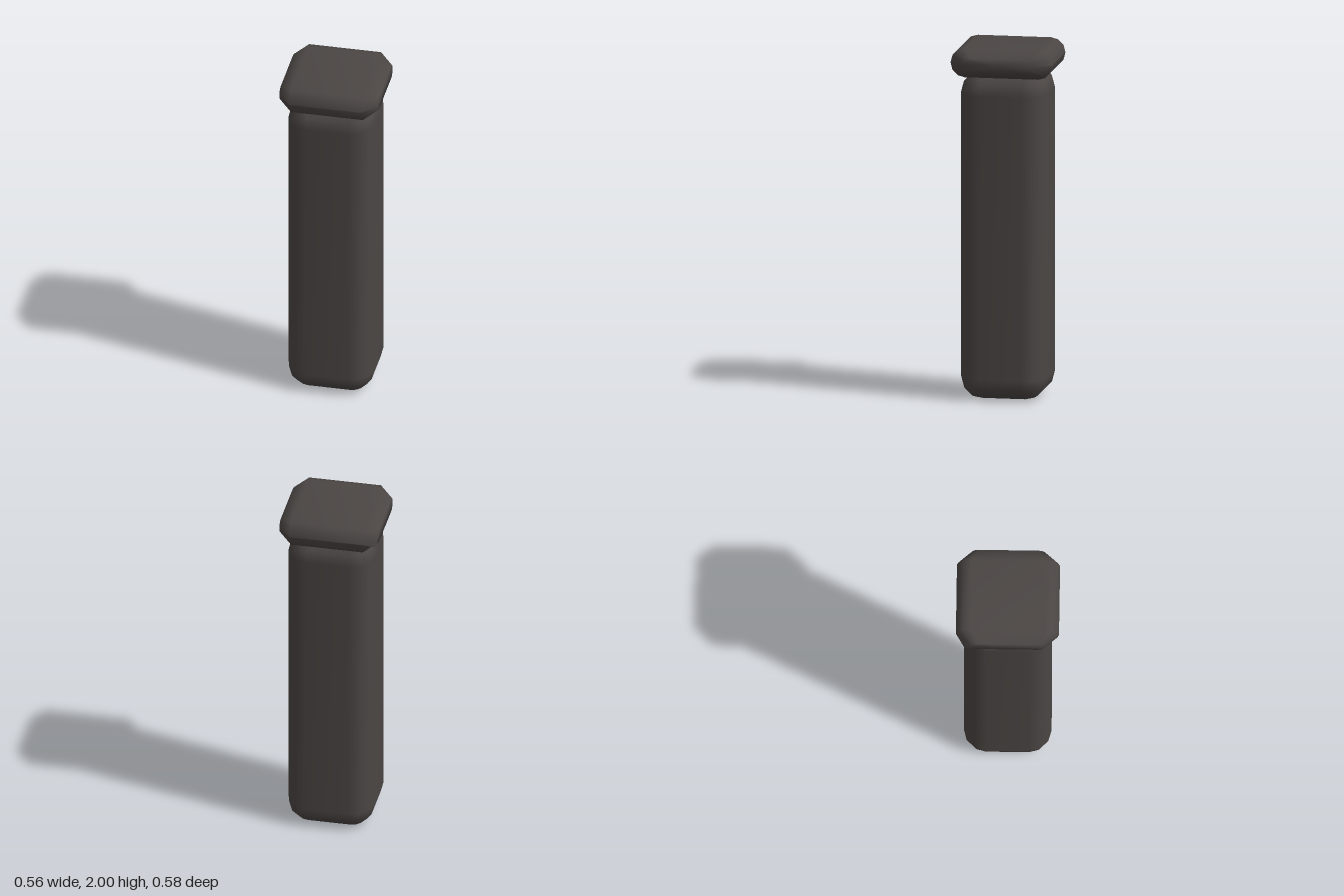
import * as THREE from 'three';
import { mergeVertices } from 'three/addons/utils/BufferGeometryUtils.js';

const STEPS = 3; // segments per rounded corner

// Counter-clockwise outline of a rounded rectangle with half sizes a, b.
function roundedRect(a, b, r) {
  const pts = [];
  for (let q = 0; q < 4; q++) {
    const su = q === 0 || q === 3 ? 1 : -1;
    const sv = q < 2 ? 1 : -1;
    for (let i = 0; i <= STEPS; i++) {
      const t = (q + i / STEPS) * Math.PI / 2;
      pts.push([su * (a - r) + r * Math.cos(t), sv * (b - r) + r * Math.sin(t)]);
    }
  }
  return pts;
}

// Skin a row of rings and close both ends with fans.
function loft(rings) {
  const n = rings[0].length;
  const last = rings.length - 1;
  const pos = rings.flat(2);
  const index = [];
  for (const ring of [rings[0], rings[last]]) {
    for (let c = 0; c < 3; c++) pos.push(ring.reduce((s, p) => s + p[c], 0) / n);
  }
  const start = n * rings.length;
  for (let k = 0; k < n; k++) {
    const m = (k + 1) % n;
    for (let i = 0; i < last; i++) {
      const a = i * n + k, b = i * n + m;
      index.push(a, b, b + n, a, b + n, a + n);
    }
    index.push(start, m, k, start + 1, last * n + k, last * n + m);
  }
  let g = new THREE.BufferGeometry();
  g.setAttribute('position', new THREE.Float32BufferAttribute(pos, 3));
  g.setIndex(index);
  g = mergeVertices(g, 1e-4);
  g.computeVertexNormals();
  return g;
}

export function createModel() {
  const model = new THREE.Group();
  const stone = new THREE.MeshStandardMaterial({ color: 0x4b4644 });
  stone.name = 'darkStone';

  const add = (name, geometry) => {
    const mesh = new THREE.Mesh(geometry, stone);
    mesh.name = name;
    model.add(mesh);
  };

  // Post: tall block rounded on every edge
  const R = 0.125, HALF = 0.245, HEIGHT = 1.86;
  const postRings = [];
  for (const end of [0, 1]) {
    for (let i = 0; i <= STEPS; i++) {
      const t = (end ? i : STEPS - i) / STEPS * Math.PI / 2;
      const r = R * Math.cos(t);
      const half = HALF - R + r;
      const rise = R - R * Math.sin(t);
      const y = end ? HEIGHT - rise : rise;
      postRings.push(roundedRect(half, half, r).map(([z, x]) => [x, y, z]));
    }
  }
  add('post', loft(postRings));

  // Cap slab: rounded front and back edges, tapered left and right ends
  const capRings = [
    [-0.28, 0.04, 0.205, 0.038],
    [-0.205, 0.0825, 0.288, 0.08],
    [0.205, 0.0825, 0.288, 0.08],
    [0.28, 0.04, 0.205, 0.038],
  ].map(([x, hy, hz, r]) => roundedRect(hy, hz, r).map(([y, z]) => [x, 1.9175 + y, z]));
  // Small pulled-out nick under the back corner
  capRings[0][2 * (STEPS + 1) + STEPS] = [-0.275, 1.885, -0.24];
  add('cap', loft(capRings));

  return model;
}
